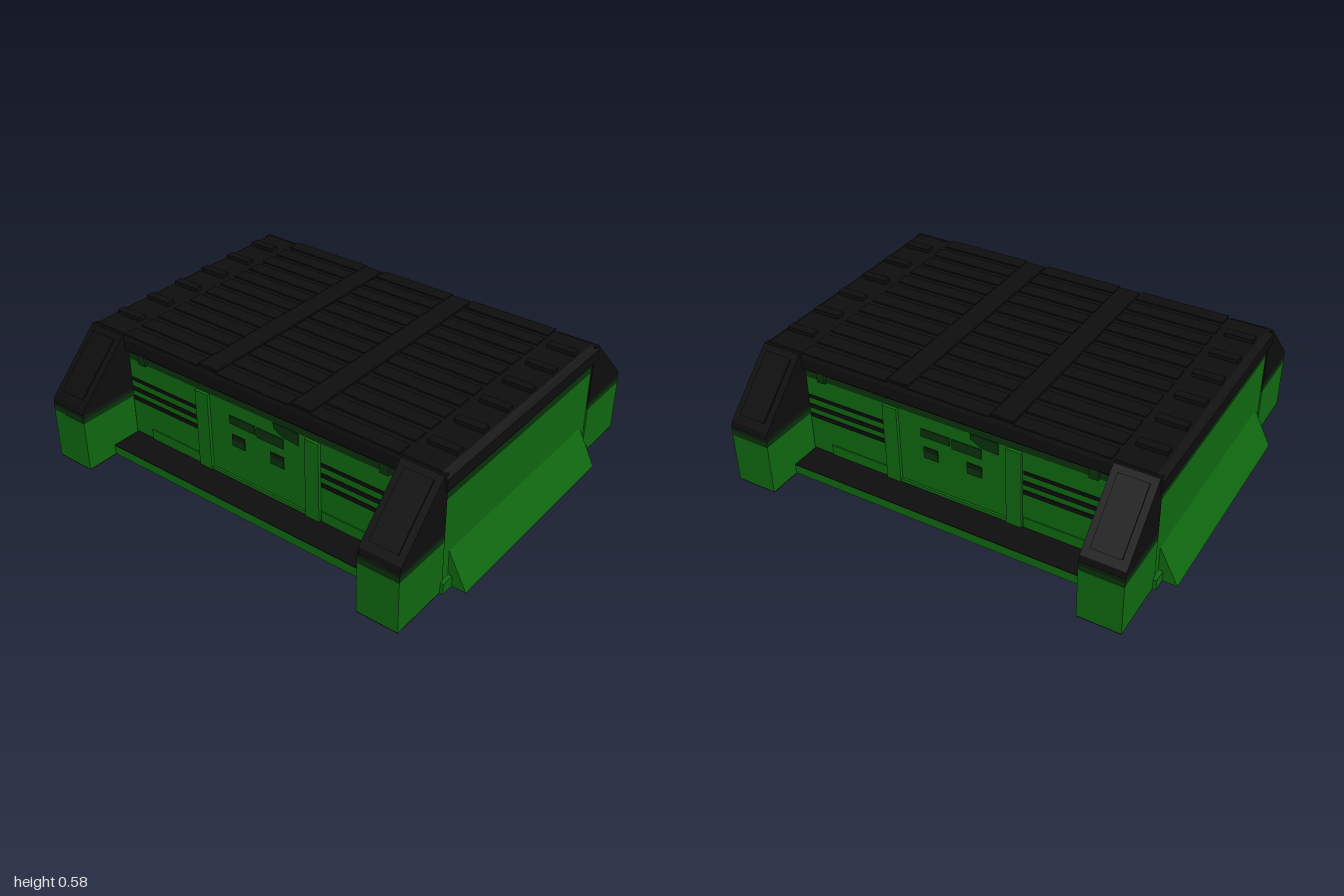
import * as THREE from 'three';

const mat = (name, color) => Object.assign(new THREE.MeshStandardMaterial({ color }), { name });

export function createModel() {
  const green = mat('hull green', 0x0f6810);
  const dark = mat('shaded dark green', 0x0a300c);
  const deep = mat('trim deep green', 0x0a1c0b);
  const black = mat('armour black', 0x0d0d0d);
  const model = new THREE.Group();
  model.name = 'bunker';

  // Box given by its min and max corners
  function box(parent, name, m, x0, x1, y0, y1, z0, z1) {
    const mesh = new THREE.Mesh(new THREE.BoxGeometry(x1 - x0, y1 - y0, z1 - z0), m);
    mesh.position.set((x0 + x1) / 2, (y0 + y1) / 2, (z0 + z1) / 2);
    mesh.name = name;
    parent.add(mesh);
    return mesh;
  }
  // Profile of [z, y] points extruded along x
  function prism(parent, name, m, pts, x0, x1) {
    const shape = new THREE.Shape(pts.map(([z, y]) => new THREE.Vector2(-z, y)));
    const geo = new THREE.ExtrudeGeometry(shape, { depth: x1 - x0, bevelEnabled: false });
    geo.rotateY(Math.PI / 2);
    geo.translate(x0, 0, 0);
    const mesh = new THREE.Mesh(geo, m);
    mesh.name = name;
    parent.add(mesh);
    return mesh;
  }

  // Main body with a banded trim below the roof
  box(model, 'body', green, -0.915, 0.915, 0.004, 0.43, -0.56, 0.56);
  box(model, 'upperTrim', dark, -0.916, 0.916, 0.43, 0.465, -0.561, 0.561);
  box(model, 'eaveTrim', deep, -0.918, 0.918, 0.465, 0.49, -0.565, 0.565);
  box(model, 'baseSlab', green, -0.73, 0.73, 0.004, 0.046, -0.705, 0.705);
  box(model, 'slabDeck', black, -0.73, 0.73, 0.046, 0.05, -0.705, 0.705);
  box(model, 'underside', black, -0.915, 0.915, 0, 0.004, -0.7, 0.7);

  // Roof with chamfered rim
  box(model, 'roofRim', black, -0.93, 0.93, 0.485, 0.54, -0.585, 0.585);
  const crown = new THREE.CylinderGeometry(Math.SQRT1_2, Math.SQRT1_2, 1, 4).rotateY(Math.PI / 4);
  const p = crown.attributes.position;
  for (let i = 0; i < p.count; i++) {
    const top = p.getY(i) > 0;
    p.setXYZ(i, p.getX(i) * 2 * (top ? 0.9 : 0.93), top ? 0.56 : 0.54, p.getZ(i) * 2 * (top ? 0.575 : 0.585));
  }
  const flatCrown = crown.toNonIndexed();
  flatCrown.computeVertexNormals();
  const crownMesh = new THREE.Mesh(flatCrown, black);
  crownMesh.name = 'roofCrown';
  model.add(crownMesh);

  // Ribbed roof panels between two long strips
  for (const [x0, x1] of [[-0.72, -0.3], [-0.19, 0.19], [0.3, 0.72]]) {
    for (let i = 0; i < 12; i++) {
      const z = -0.55 + i * 0.1;
      box(model, 'roofRib', black, x0, x1, 0.56, 0.567, z - 0.035, z + 0.035);
    }
  }
  for (const s of [-1, 1]) box(model, 'roofStrip', black, s * 0.245 - 0.05, s * 0.245 + 0.05, 0.56, 0.57, -0.57, 0.57);
  for (const s of [-1, 1]) for (let i = 0; i < 6; i++) {
    const z = -0.445 + i * 0.178;
    box(model, 'roofPlate', black, s * 0.825 - 0.065, s * 0.825 + 0.065, 0.56, 0.578, z - 0.02, z + 0.02);
  }

  // One end of the building, repeated by half a turn
  for (const turn of [0, Math.PI]) {
    const end = new THREE.Group();
    end.name = turn ? 'backEnd' : 'frontEnd';
    end.rotation.y = turn;
    model.add(end);

    // Corner buttresses
    for (const s of [-1, 1]) {
      const x0 = s < 0 ? -0.92 : 0.73, x1 = x0 + 0.19;
      box(end, 'buttressFoot', green, x0, x1, 0.004, 0.24, 0.565, 0.855);
      box(end, 'buttressSole', black, x0, x1, 0, 0.004, 0.565, 0.855);
      box(end, 'buttressBand', dark, x0, x1, 0.24, 0.262, 0.565, 0.854);
      box(end, 'buttressTrim', deep, x0, x1, 0.262, 0.28, 0.565, 0.854);
      prism(end, 'buttressArmour', black,
        [[0.565, 0.28], [0.853, 0.28], [0.845, 0.305], [0.59, 0.555], [0.565, 0.555]], x0, x1);
      prism(end, 'slopePlate', black,
        [[0.82, 0.33], [0.825, 0.335], [0.615, 0.54], [0.61, 0.535]], x0 + 0.03, x1 - 0.03);

      // Louvred bay beside the entrance
      const b0 = s < 0 ? -0.73 : 0.335, b1 = b0 + 0.395;
      for (const [y, h] of [[0.33, 0.016], [0.28, 0.02], [0.232, 0.02]])
        box(end, 'louvre', black, b0, b1, y - h / 2, y + h / 2, 0.556, 0.564);
      box(end, 'bayKickPlate', green, s < 0 ? -0.63 : 0.335, s < 0 ? -0.335 : 0.63, 0.05, 0.1, 0.556, 0.565);
      box(end, 'pilaster', green, s * 0.295 - 0.035, s * 0.295 + 0.035, 0.05, 0.43, 0.55, 0.575);
      box(end, 'eaveBlock', dark, s * 0.645 - 0.02, s * 0.645 + 0.02, 0.43, 0.48, 0.55, 0.575);

      // Small square windows
      box(end, 'smallWindow', dark, s * 0.105 - 0.035, s * 0.105 + 0.035, 0.222, 0.255, 0.556, 0.564);
      box(end, 'smallWindowTop', deep, s * 0.105 - 0.035, s * 0.105 + 0.035, 0.255, 0.278, 0.556, 0.564);
    }
    // Central windows and hood
    box(end, 'leftWindow', dark, -0.15, -0.01, 0.328, 0.368, 0.556, 0.564);
    box(end, 'rightWindow', dark, 0, 0.14, 0.32, 0.368, 0.556, 0.564);
    const hood = new THREE.Shape([[0.09, 0.43], [0.09, 0.405], [0.14, 0.378], [0.22, 0.372], [0.22, 0.43]]
      .map(([x, y]) => new THREE.Vector2(x, y)));
    const hoodMesh = new THREE.Mesh(new THREE.ExtrudeGeometry(hood, { depth: 0.008, bevelEnabled: false }), dark);
    hoodMesh.position.z = 0.556;
    hoodMesh.name = 'hood';
    end.add(hoodMesh);
    box(end, 'doorSill', green, -0.26, 0.26, 0.05, 0.065, 0.556, 0.57);

    // Sloping side skirt with end brackets
    const skirtShape = new THREE.Shape([[0.91, 0], [1, 0], [0.915, 0.165], [0.91, 0.165]]
      .map(([x, y]) => new THREE.Vector2(x, y)));
    const skirt = new THREE.Mesh(new THREE.ExtrudeGeometry(skirtShape, { depth: 1.04, bevelEnabled: false }), green);
    skirt.position.z = -0.52;
    skirt.name = 'sideSkirt';
    end.add(skirt);
    for (const s of [-1, 1]) box(end, 'skirtBracket', green, 0.9, 0.935, 0, 0.05, s * 0.55 - 0.03, s * 0.55 + 0.03);
  }
  return model;
}
